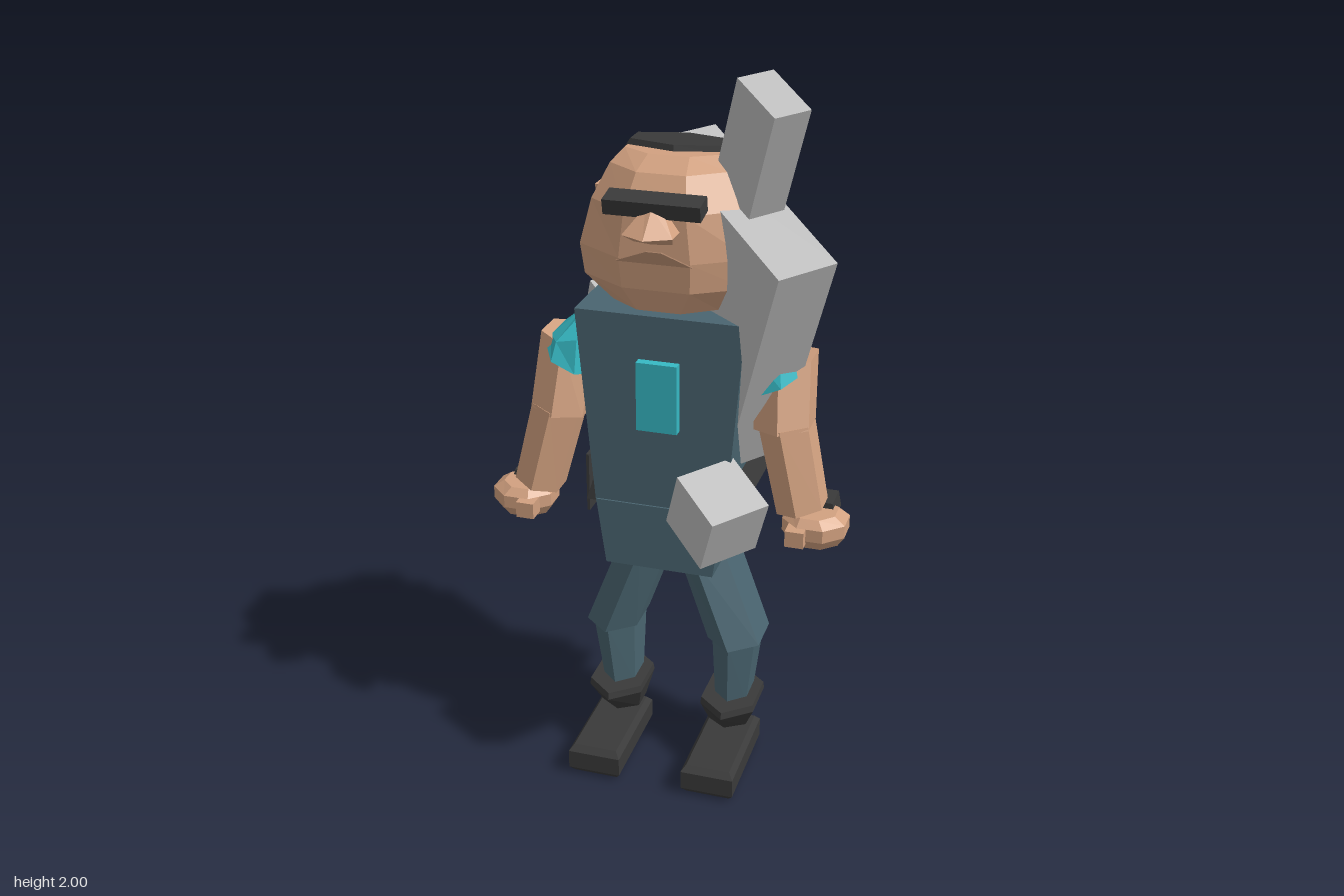
import * as THREE from 'three';

const mat = (name, color) => {
  const m = new THREE.MeshStandardMaterial({ color, flatShading: true });
  m.name = name;
  return m;
};

// Closed solid from horizontal rings, listed bottom to top: [cx, cy, cz, halfX, halfZ, slopeX]
function loft(rings, n) {
  const pos = [], idx = [], k = 1 / Math.cos(Math.PI / n);
  for (const [cx, cy, cz, hx, hz, slope = 0] of rings) {
    for (let j = 0; j < n; j++) {
      const a = ((j + 0.5) / n) * Math.PI * 2;
      const dx = Math.cos(a) * hx * k;
      pos.push(cx + dx, cy + slope * dx, cz + Math.sin(a) * hz * k);
    }
  }
  const top = (rings.length - 1) * n;
  for (let i = 0; i < rings.length - 1; i++) {
    for (let j = 0; j < n; j++) {
      const a = i * n + j, b = i * n + (j + 1) % n;
      idx.push(a, a + n, b + n, a, b + n, b);
    }
  }
  for (let j = 1; j < n - 1; j++) idx.push(0, j, j + 1, top, top + j + 1, top + j);
  const g = new THREE.BufferGeometry();
  g.setAttribute('position', new THREE.Float32BufferAttribute(pos, 3));
  g.setIndex(idx);
  const flat = g.toNonIndexed();
  flat.computeVertexNormals();
  return flat;
}

export function createModel() {
  const model = new THREE.Group();
  model.name = 'worker';
  const skin = mat('skin', 0xd2a180);
  const lipTone = mat('lips', 0xa17b62);
  const cloth = mat('overalls', 0x4a6570);
  const shirt = mat('shirt', 0x36b9c4);
  const dark = mat('black', 0x3a3a3a);
  const grey = mat('grey', 0xbebebe);

  const add = (name, geo, m, parent = model) => {
    const mesh = new THREE.Mesh(geo, m);
    mesh.name = name;
    parent.add(mesh);
    return mesh;
  };
  const solid = (name, rings, n, m) => add(name, loft(rings, n), m);
  // Axis-aligned box from its two corners
  const box = (name, a, b, m, parent) => {
    const s = a.map((v, i) => b[i] - v);
    const mesh = add(name, new THREE.BoxGeometry(...s), m, parent);
    mesh.position.set(...a.map((v, i) => v + s[i] / 2));
    return mesh;
  };

  // Body
  solid('torso', [[0, 0.83, 0.005, 0.18, 0.165], [0, 1.38, 0.005, 0.227, 0.165]], 4, cloth);
  solid('pelvis', [[0, 0.655, -0.018, 0.15, 0.2], [0, 0.84, -0.01, 0.178, 0.185]], 4, cloth);
  solid('belt', [[0, 0.828, -0.035, 0.21, 0.195], [0, 0.985, 0.01, 0.165, 0.13]], 4, dark);
  box('chestPlate', [-0.055, 1.07, 0.165], [0.055, 1.26, 0.195], shirt);
  box('hipPlate', [-0.232, 0.76, -0.04], [-0.224, 0.93, 0.1], dark);

  // Head
  solid('head', [
    [0, 1.395, 0.07, 0.14, 0.1],
    [0, 1.46, 0.06, 0.215, 0.135],
    [0, 1.54, 0.06, 0.225, 0.145],
    [0, 1.66, 0.055, 0.193, 0.145],
    [0, 1.745, 0.03, 0.155, 0.115],
    [0, 1.775, 0, 0.13, 0.08],
  ], 8, skin);
  solid('hair', [[0, 1.765, -0.025, 0.14, 0.062], [0, 1.79, -0.025, 0.125, 0.055]], 6, dark);
  box('brow', [-0.125, 1.662, 0.165], [0.125, 1.702, 0.228], dark).rotation.x = 0.2;
  solid('nose', [
    [0, 1.59, 0.2, 0.05, 0.02],
    [0, 1.62, 0.225, 0.065, 0.06],
    [0, 1.68, 0.19, 0.02, 0.025],
  ], 6, skin);

  // Mouth: shallow downturned plate
  const lip = new THREE.Shape([[-0.1, 1.535], [0.1, 1.535], [0.02, 1.565], [-0.02, 1.565]]
    .map((p) => new THREE.Vector2(...p)));
  add('mouth', new THREE.ExtrudeGeometry(lip, { depth: 0.009, bevelEnabled: false }), lipTone)
    .position.z = 0.202;

  for (const s of [-1, 1]) {
    const side = s < 0 ? 'right' : 'left';
    const up = s > 0 ? 0.03 : 0;
    const X = (rings) => rings.map(([x, y, z, hx, hz, t = 0]) => [s * x, y, z, hx, hz, s * t]);

    solid(side + 'Ear', X([[0.2, 1.575, -0.035, 0.015, 0.025], [0.205, 1.66, -0.04, 0.02, 0.04]]), 4, skin);

    // Arm
    solid(side + 'Sleeve', X([
      [0.28, 1.19, -0.01, 0.078, 0.14, 0.45],
      [0.275, 1.26, -0.01, 0.07, 0.12, -0.2],
      [0.235, 1.33, -0.01, 0.03, 0.06, -0.5],
    ]), 8, shirt);
    solid(side + 'UpperArm', X([
      [0.31, 1.05 + up, 0.065, 0.073, 0.073, 0.1],
      [0.295, 1.24, 0, 0.075, 0.08, 0.2],
    ]), 6, skin);
    solid(side + 'Forearm', X([
      [0.37, 0.83 + up, 0.09, 0.06, 0.065, 0.25],
      [0.315, 1.06 + up, 0.065, 0.066, 0.07, 0.1],
    ]), 6, skin);
    solid(side + 'Hand', X([
      [0.41, 0.745 + up, 0.1, 0.065, 0.06],
      [0.41, 0.775 + up, 0.1, 0.084, 0.08],
      [0.41, 0.81 + up, 0.1, 0.084, 0.08],
      [0.405, 0.83 + up, 0.1, 0.06, 0.06],
    ]), 8, skin);
    solid(side + 'Thumb', X([[0.375, 0.765 + up, 0.18, 0.025, 0.025], [0.375, 0.81 + up, 0.18, 0.025, 0.025]]), 4, skin);
    solid(side + 'WristBand', X([
      [0.415, 0.8 + up, 0.045, 0.042, 0.045],
      [0.415, 0.845 + up, 0.045, 0.035, 0.04],
    ]), 4, dark);

    // Leg
    solid(side + 'Thigh', X([
      [0.18, 0.385, 0.002, 0.074, 0.105],
      [0.075, 0.67, -0.01, 0.07, 0.11],
    ]), 6, cloth);
    solid(side + 'Shin', X([
      [0.168, 0.17, -0.005, 0.046, 0.07],
      [0.178, 0.395, -0.005, 0.062, 0.1],
    ]), 6, cloth);
    solid(side + 'AnkleCuff', X([
      [0.162, 0.1, 0.012, 0.055, 0.06],
      [0.168, 0.17, 0.014, 0.078, 0.112],
      [0.168, 0.19, 0.014, 0.076, 0.108],
    ]), 6, dark);
    solid(side + 'Shoe', X([
      [0.166, 0, 0.125, 0.062, 0.14],
      [0.166, 0.018, 0.125, 0.075, 0.155],
      [0.166, 0.072, 0.125, 0.075, 0.155],
      [0.166, 0.09, 0.125, 0.062, 0.14],
    ]), 4, dark);
  }

  // Slung machine: blocks sharing one tilted frame
  const pack = new THREE.Group();
  pack.name = 'slungMachine';
  const v = new THREE.Vector3(0.265, 0.91, 0.31).normalize();
  const u = v.clone().cross(new THREE.Vector3(-0.66, -0.08, 0.75)).normalize();
  const w = u.clone().cross(v);
  pack.quaternion.setFromRotationMatrix(new THREE.Matrix4().makeBasis(u, v, w));
  model.add(pack);
  box('mainBlock', [-0.782, 0.92, -0.273], [-0.217, 1.604, -0.1], grey, pack);
  box('sidePanel', [-0.675, 1.0, -0.343], [-0.375, 1.487, -0.27], grey, pack);
  box('topPost', [-0.594, 1.59, -0.257], [-0.43, 1.908, -0.152], grey, pack);
  box('rearBlock', [-0.9, 0.8, -0.18], [-0.62, 1.025, -0.048], grey, pack);
  box('frontBlock', [-0.18, 0.84, -0.08], [-0.006, 1.016, 0.092], grey, pack);

  return model;
}
